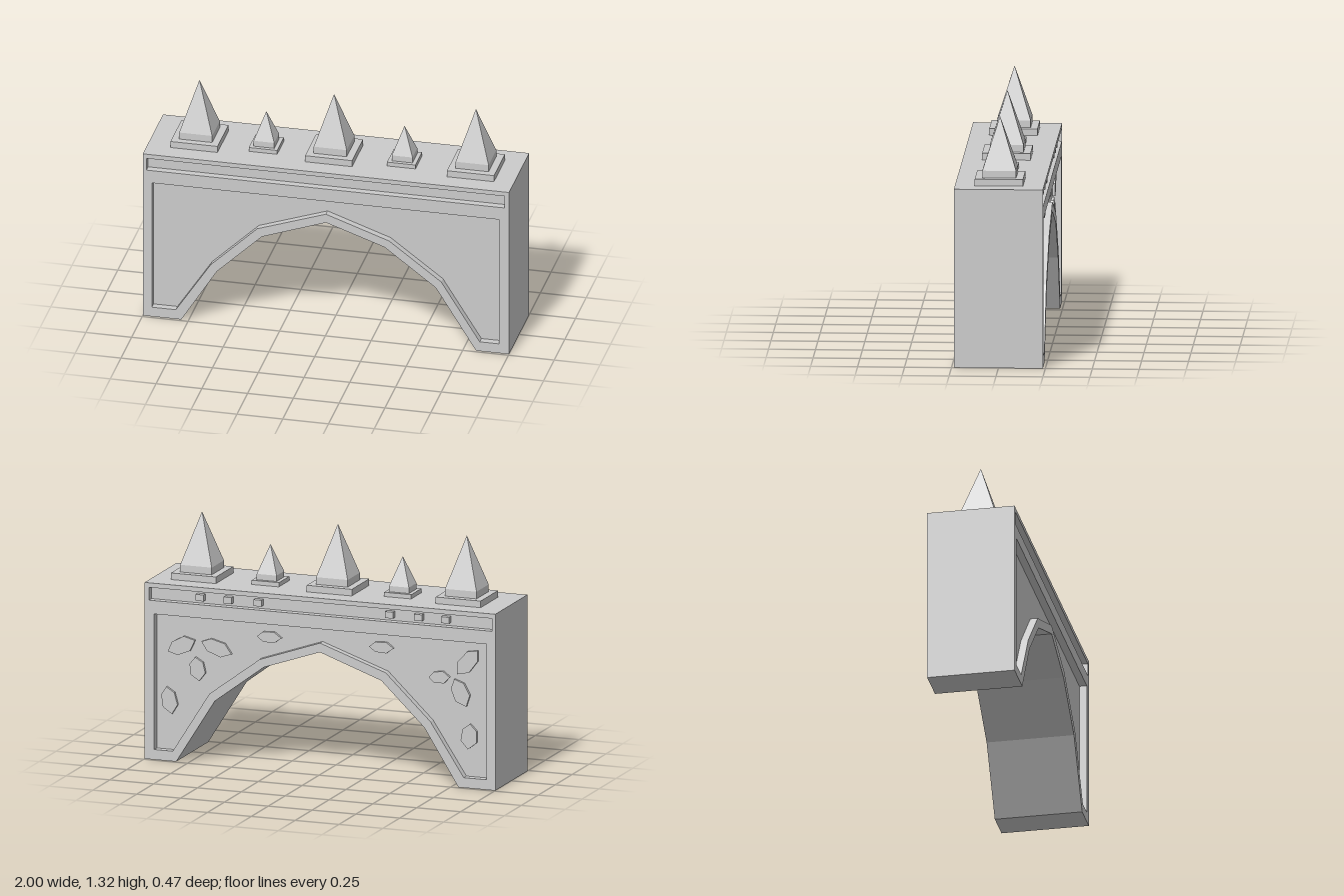
import * as THREE from 'three';

const material = new THREE.MeshStandardMaterial({ color: 0xcccccc, flatShading: true });
const HALF_DEPTH = 0.237, RECESS = 0.04, TOP = 0.965;

const points = (list) => list.map(([x, y]) => new THREE.Vector2(x, y));

const OUTLINE = points([[-1, 0], [-0.79, 0], [-0.595, 0.31], [-0.35, 0.545], [0, 0.67], [0.32, 0.56],
  [0.6, 0.35], [0.82, 0], [1, 0], [1, TOP], [-1, TOP]]);
const PANEL = points([[-0.95, 0.055], [-0.82, 0.055], [-0.63, 0.345], [-0.375, 0.59], [0, 0.72], [0.345, 0.6],
  [0.63, 0.388], [0.84, 0.055], [0.945, 0.055], [0.945, 0.797], [-0.95, 0.797]]);
const BAND = points([[-0.98, 0.87], [0.975, 0.87], [0.975, 0.94], [-0.98, 0.94]]);

function addMesh(parent, name, geometry, x = 0, y = 0, z = 0) {
  const mesh = new THREE.Mesh(geometry, material);
  mesh.name = name;
  mesh.position.set(x, y, z);
  parent.add(mesh);
  return mesh;
}

function extrude(outline, depth, holes = []) {
  const shape = new THREE.Shape(outline);
  shape.holes = holes.map((h) => new THREE.Path(h));
  return new THREE.ExtrudeGeometry(shape, { depth, bevelEnabled: false });
}

// Pointed spire on a square plinth, with a short upright neck
function spire(x, plinthWidth, plinthHeight, width, neckTop, apex) {
  const group = new THREE.Group();
  group.name = 'spire';
  group.position.set(x, 0, 0.003);
  const plinthTop = TOP + plinthHeight;
  addMesh(group, 'plinth', new THREE.BoxGeometry(plinthWidth, plinthHeight, plinthWidth), 0, TOP + plinthHeight / 2);
  addMesh(group, 'neck', new THREE.BoxGeometry(width, neckTop - plinthTop, width), 0, (neckTop + plinthTop) / 2);
  const cone = new THREE.ConeGeometry(width / Math.SQRT2, apex - neckTop, 4, 1, true).rotateY(Math.PI / 4);
  addMesh(group, 'point', cone, 0, (neckTop + apex) / 2);
  return group;
}

// Six-sided leaf with its long axis along x
function leafGeometry(length, width) {
  const l = length / 2, w = width / 2;
  return extrude(points([[-l, 0], [-l * 0.4, -w], [l * 0.5, -w * 0.9], [l, 0], [l * 0.5, w * 0.9], [-l * 0.4, w]]), 0.016);
}

export function createModel() {
  const model = new THREE.Group();
  model.name = 'archBridge';

  // Solid core between the two recessed faces
  const inner = HALF_DEPTH - RECESS;
  addMesh(model, 'core', extrude(OUTLINE, inner * 2), 0, 0, -inner);

  // Framed faces around the recessed panel and band
  addMesh(model, 'frontFrame', extrude(OUTLINE, RECESS, [PANEL, BAND]), 0, 0, inner);
  addMesh(model, 'backFrame', extrude(OUTLINE, RECESS, [PANEL, BAND]), 0, 0, -HALF_DEPTH);

  // Spires along the top
  for (const x of [-0.745, -0.01, 0.765]) model.add(spire(x, 0.257, 0.036, 0.18, 1.04, 1.32));
  for (const x of [-0.38, 0.375]) model.add(spire(x, 0.155, 0.023, 0.113, 1.02, 1.175));

  // Leaves on the back panel: x, y, length, width, angle in degrees
  const leaves = [
    [0.30, 0.72, 0.14, 0.06, 0], [-0.34, 0.72, 0.14, 0.06, 0],
    [0.80, 0.63, 0.17, 0.085, -25], [0.60, 0.635, 0.18, 0.08, 18], [0.71, 0.51, 0.13, 0.085, 80],
    [-0.83, 0.68, 0.18, 0.085, 130], [-0.67, 0.585, 0.12, 0.065, -5], [-0.79, 0.51, 0.16, 0.09, 65],
    [0.87, 0.325, 0.15, 0.085, 78], [-0.84, 0.275, 0.14, 0.09, 95],
  ];
  for (const [x, y, length, width, angle] of leaves) {
    const leaf = addMesh(model, 'leaf', leafGeometry(length, width), x, y, -inner - 0.015);
    leaf.rotation.z = THREE.MathUtils.degToRad(angle);
  }

  // Small blocks in the back band
  for (const x of [0.69, 0.53, 0.36, -0.39, -0.555, -0.71]) {
    addMesh(model, 'bandBlock', new THREE.BoxGeometry(0.045, 0.035, 0.04), x, 0.905, -inner - 0.01);
  }
  return model;
}
